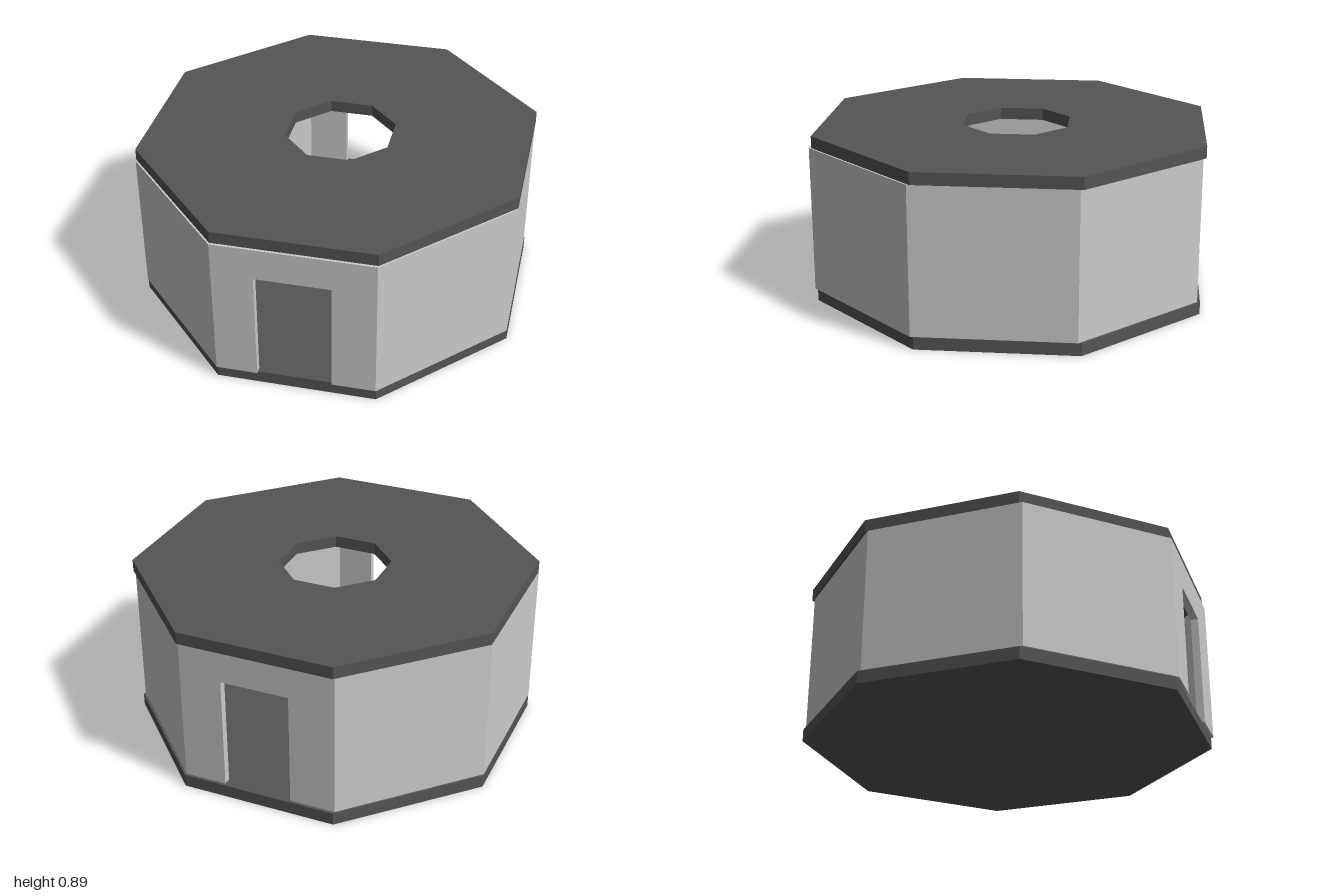
import * as THREE from 'three';

const wallMat = new THREE.MeshStandardMaterial({ color: 0xcccccc, flatShading: true });
const slabMat = new THREE.MeshStandardMaterial({ color: 0x555555, flatShading: true });

const SLAB = 0.065, WALL_TOP = 0.83, TOP = 0.893, DOOR_TOP = 0.66, THICK = 0.04;

// Plan points are [x, z]; the shape is drawn in x, -z and stood upright.
const toVec = ([x, z]) => new THREE.Vector2(x, -z);

function prism(name, material, plan, y0, y1, hole) {
  const shape = new THREE.Shape(plan.map(toVec));
  if (hole) shape.holes.push(new THREE.Path(hole.map(toVec)));
  const geo = new THREE.ExtrudeGeometry(shape, { depth: y1 - y0, bevelEnabled: false });
  geo.rotateX(-Math.PI / 2).translate(0, y0, 0);
  const mesh = new THREE.Mesh(geo, material);
  mesh.name = name;
  return mesh;
}

// Octagon outline: half width, corner x, and the four corner depths front to back
function octagon(halfX, cornerX, [front, sideFront, sideBack, back]) {
  const right = [[cornerX, front], [halfX, sideFront], [halfX, sideBack], [cornerX, back]];
  const left = right.map(([x, z]) => [-x, z]).reverse();
  return [...right, ...left];
}

export function createModel() {
  const model = new THREE.Group();
  model.name = 'octagonalBuilding';

  // Floor and roof slabs, the roof with a skylight opening
  const slab = octagon(0.977, 0.405, [0.987, 0.39, -0.422, -1]);
  const skylight = octagon(0.27, 0.112, [0.25, 0.09, -0.137, -0.295]);
  model.add(prism('floor', slabMat, slab, 0, SLAB));
  model.add(prism('roof', slabMat, slab, WALL_TOP, TOP, skylight));

  // Walls: two C-shaped halves between the front and back doorways
  const zf = 1, zb = -0.985;
  const outer = octagon(0.975, 0.405, [zf, 0.405, -0.405, zb]);
  const inner = octagon(0.975 - THICK, 0.388, [zf - THICK, 0.388, -0.388, zb + THICK]);
  const walls = new THREE.Group();
  walls.name = 'walls';
  const doors = {
    front: { left: 0.185, right: -0.195, z0: zf, z1: zf - THICK },
    back: { left: 0.185, right: -0.17, z0: zb, z1: zb + THICK },
  };
  const { front, back } = doors;
  walls.add(prism('leftWall', wallMat, [
    [front.left, front.z0], ...outer.slice(0, 4), [back.left, back.z0],
    [back.left, back.z1], ...inner.slice(0, 4).reverse(), [front.left, front.z1],
  ], SLAB, WALL_TOP));
  walls.add(prism('rightWall', wallMat, [
    [back.right, back.z0], ...outer.slice(4), [front.right, front.z0],
    [front.right, front.z1], ...inner.slice(4).reverse(), [back.right, back.z1],
  ], SLAB, WALL_TOP));

  // Lintels above the doorways
  for (const [side, d] of Object.entries(doors)) {
    walls.add(prism(side + 'Lintel', wallMat, [
      [d.left, d.z0], [d.left, d.z1], [d.right, d.z1], [d.right, d.z0],
    ], DOOR_TOP, WALL_TOP));
  }
  model.add(walls);
  return model;
}
